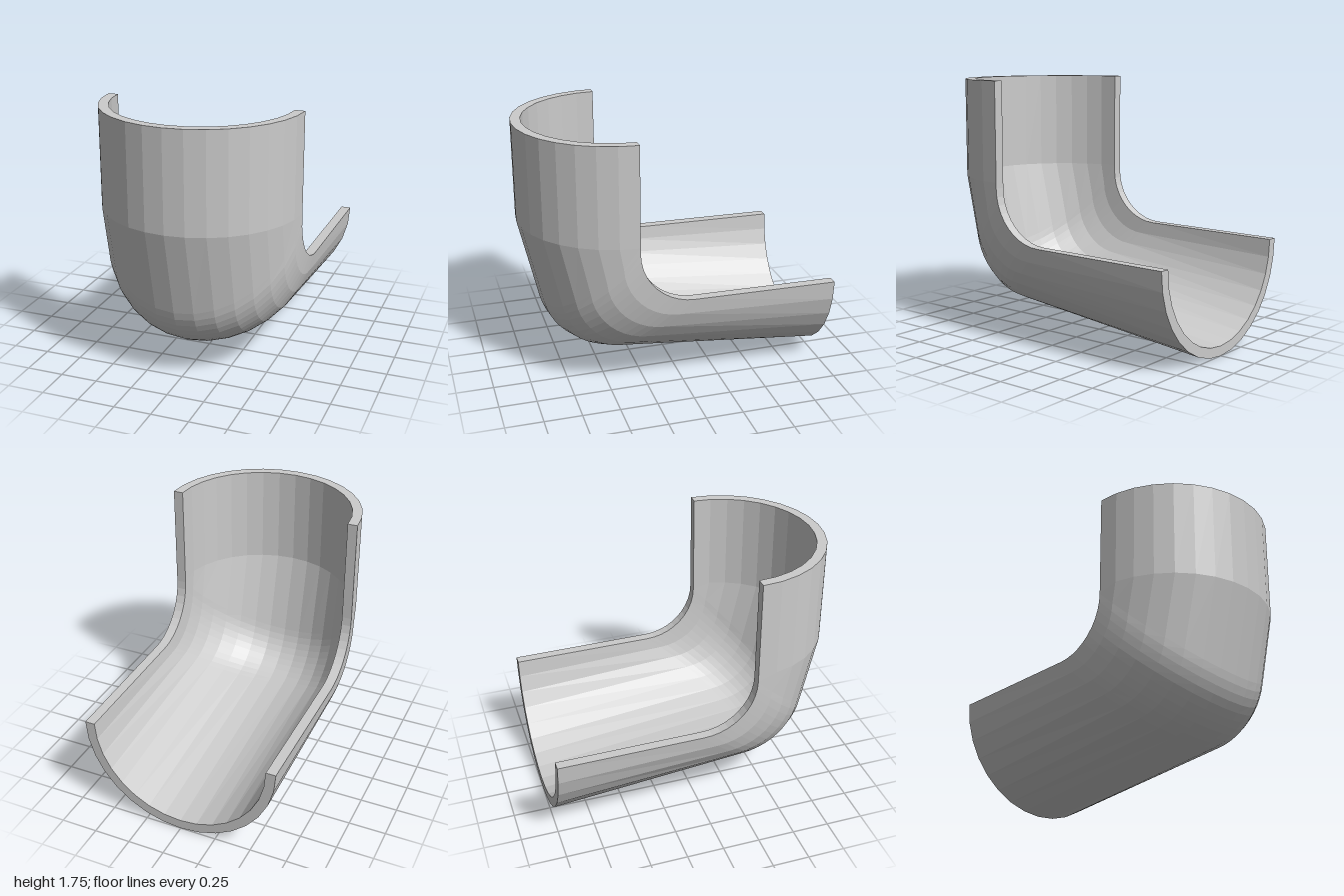
import * as THREE from 'three';

const SEG = 16;    // facets around the half pipe
const BEND = 10;   // steps around the elbow
const R = 0.667, WALL = 0.067;

// Stations along the pipe as [z, y]: rim edge, outer spine, inner spine
function stations() {
  const list = [
    { rim: [0.333, 1.745], out: [1, 1.745], inn: [1 - WALL, 1.745] },
    { rim: [0.333, 1.08], out: [1, 1.08], inn: [1 - WALL, 1.08] },
  ];
  const arc = (z, y, r, a) => [z + r * Math.cos(a), y + r * Math.sin(a)];
  for (let i = 0; i <= BEND; i++) {
    const t = i / BEND;
    const a = -THREE.MathUtils.degToRad(13.3 + 70.2 * t);
    list.push({
      rim: arc(-0.027, 1.04, 0.36, -t * Math.PI / 2),
      out: arc(0.437, 0.613, 0.445, a),
      inn: arc(0.437, 0.613, 0.445 - WALL, a),
    });
  }
  list.push({ rim: [-1, 0.672], out: [-1, 0], inn: [-1, WALL] });
  return list;
}

// Half ellipse hanging from the rim line down to the spine
function halfRing(rim, spine, radius) {
  return Array.from({ length: SEG + 1 }, (_, j) => {
    const a = (j / SEG) * Math.PI, s = Math.sin(a);
    return [
      radius * Math.cos(a),
      rim[1] + (spine[1] - rim[1]) * s,
      rim[0] + (spine[0] - rim[0]) * s,
    ];
  });
}

function elbowGeometry() {
  // Closed loops: outer skin one way, inner skin back
  const loops = stations().map(({ rim, out, inn }) => [
    ...halfRing(rim, out, R),
    ...halfRing(rim, inn, R - WALL).reverse(),
  ]);
  const n = loops[0].length;
  const pos = [];
  const quad = (a, b, c, d) => pos.push(...a, ...b, ...c, ...a, ...c, ...d);

  // Skins and rim strips
  for (let s = 0; s < loops.length - 1; s++) {
    for (let j = 0; j < n; j++) {
      const k = (j + 1) % n;
      quad(loops[s][j], loops[s][k], loops[s + 1][k], loops[s + 1][j]);
    }
  }
  // End faces
  const first = loops[0], last = loops[loops.length - 1];
  for (let j = 0; j < SEG; j++) {
    const i = n - 1 - j;
    quad(first[j], first[i], first[i - 1], first[j + 1]);
    quad(last[j], last[j + 1], last[i - 1], last[i]);
  }
  const geo = new THREE.BufferGeometry();
  geo.setAttribute('position', new THREE.Float32BufferAttribute(pos, 3));
  geo.computeVertexNormals();
  return geo;
}

export function createModel() {
  const group = new THREE.Group();
  group.name = 'halfPipeElbow';
  const material = new THREE.MeshStandardMaterial({ color: 0xcccccc, flatShading: true });
  const shell = new THREE.Mesh(elbowGeometry(), material);
  shell.name = 'elbowShell';
  group.add(shell);
  return group;
}
